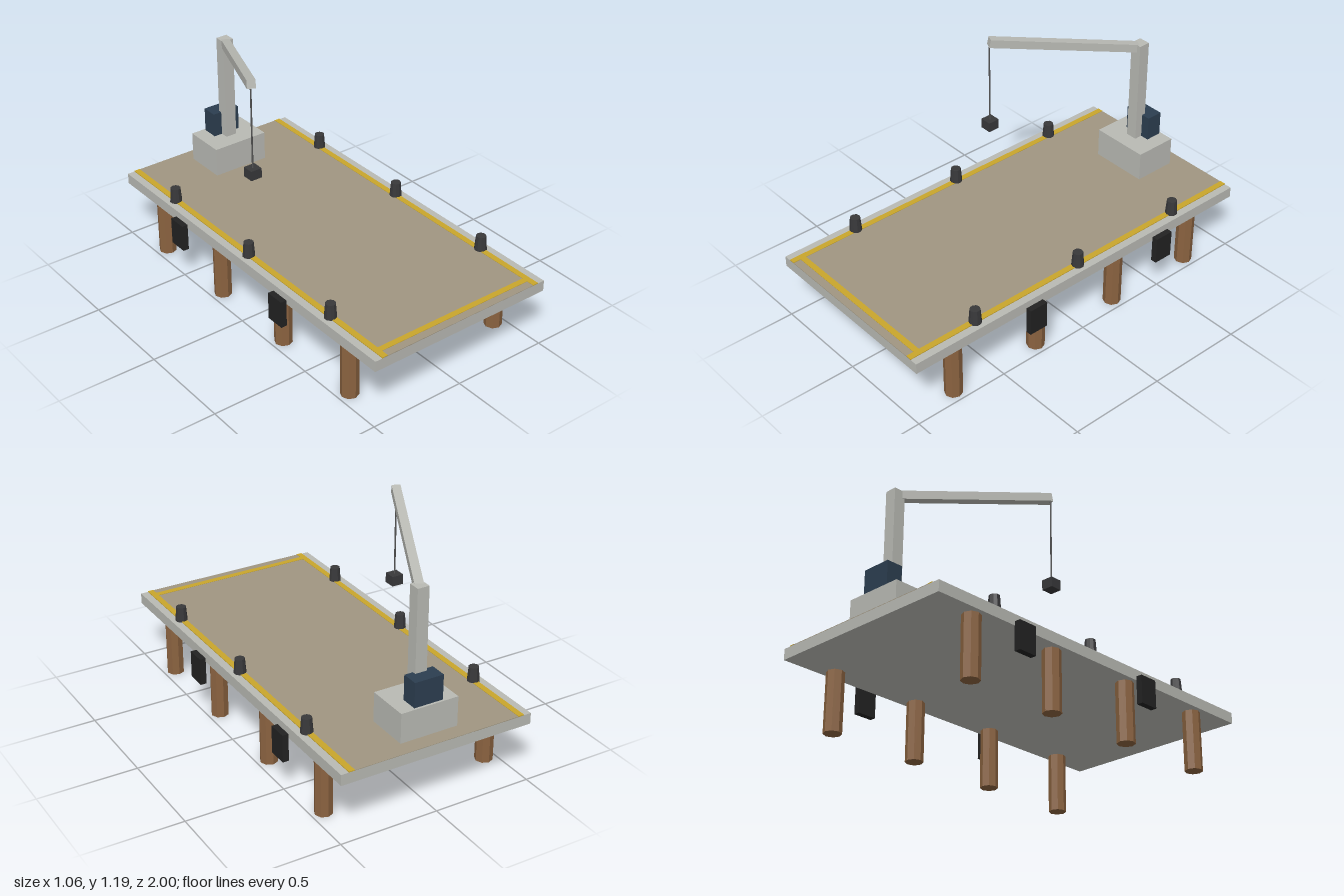
import * as THREE from 'three';

const mat = (name, color) => {
  const m = new THREE.MeshStandardMaterial({ color });
  m.name = name;
  return m;
};

export function createModel() {
  const concrete = mat('concrete', 0xb9bab4);
  const planking = mat('planking', 0xa09681);
  const yellow = mat('safety yellow', 0xc9a62c);
  const timber = mat('timber', 0x8b6340);
  const iron = mat('iron', 0x38383a);
  const rubber = mat('rubber', 0x222222);
  const navy = mat('navy', 0x2c3e50);
  const steel = mat('cable steel', 0x555555);
  timber.flatShading = iron.flatShading = true;

  const pier = new THREE.Group();
  pier.name = 'pier';

  const add = (parent, name, geometry, material, x, y, z) => {
    const mesh = new THREE.Mesh(geometry, material);
    mesh.name = name;
    mesh.position.set(x, y, z);
    parent.add(mesh);
    return mesh;
  };
  const box = (parent, name, material, w, h, d, x, y, z) =>
    add(parent, name, new THREE.BoxGeometry(w, h, d), material, x, y, z);

  // Deck slab, walking surface and painted lines
  box(pier, 'deck', concrete, 1, 0.055, 2, 0, 0.3275, 0);
  box(pier, 'deckSurface', planking, 0.9, 0.003, 2, 0, 0.3555, 0);
  box(pier, 'endLine', yellow, 0.9, 0.004, 0.03, 0, 0.357, 0.945);

  const pileGeo = new THREE.CylinderGeometry(0.044, 0.044, 0.3, 8);
  const bollardGeo = new THREE.CylinderGeometry(0.025, 0.031, 0.076, 10);
  for (const side of [-1, 1]) {
    box(pier, 'edgeLine', yellow, 0.03, 0.004, 2, side * 0.446, 0.357, 0);
    // Timber piles under the deck
    for (const z of [-0.75, -0.25, 0.25, 0.75])
      add(pier, 'pile', pileGeo, timber, side * 0.438, 0.15, z);
    // Mooring bollards on the deck edge
    for (const z of [-0.625, 0, 0.625])
      add(pier, 'bollard', bollardGeo, iron, side * 0.45, 0.393, z);
    // Rubber fenders on the sides
    for (const z of [-0.5, 0.313])
      box(pier, 'fender', rubber, 0.031, 0.14, 0.1, side * 0.515, 0.25, z);
  }

  // Crane: plinth, motor housing and mast
  const crane = new THREE.Group();
  crane.name = 'crane';
  pier.add(crane);
  box(crane, 'plinth', concrete, 0.3, 0.152, 0.22, 0, 0.431, -0.812);
  box(crane, 'motorHousing', navy, 0.15, 0.126, 0.085, 0, 0.57, -0.868);
  box(crane, 'mast', concrete, 0.06, 0.538, 0.06, 0, 0.776, -0.814);

  // Boom stretched between mast top and tip
  const root = new THREE.Vector3(0, 1.022, -0.812);
  const tip = new THREE.Vector3(-0.326, 1.17, -0.122);
  const mid = root.clone().lerp(tip, 0.5);
  const boom = box(crane, 'boom', concrete, 0.042, 0.042, root.distanceTo(tip), mid.x, mid.y, mid.z);
  boom.lookAt(tip);

  // Hoist cable and hanging weight
  add(crane, 'cable', new THREE.CylinderGeometry(0.004, 0.004, 0.43, 6), steel, -0.328, 0.943, -0.125);
  box(crane, 'hookBlock', iron, 0.06, 0.05, 0.06, -0.328, 0.708, -0.125);

  return pier;
}
